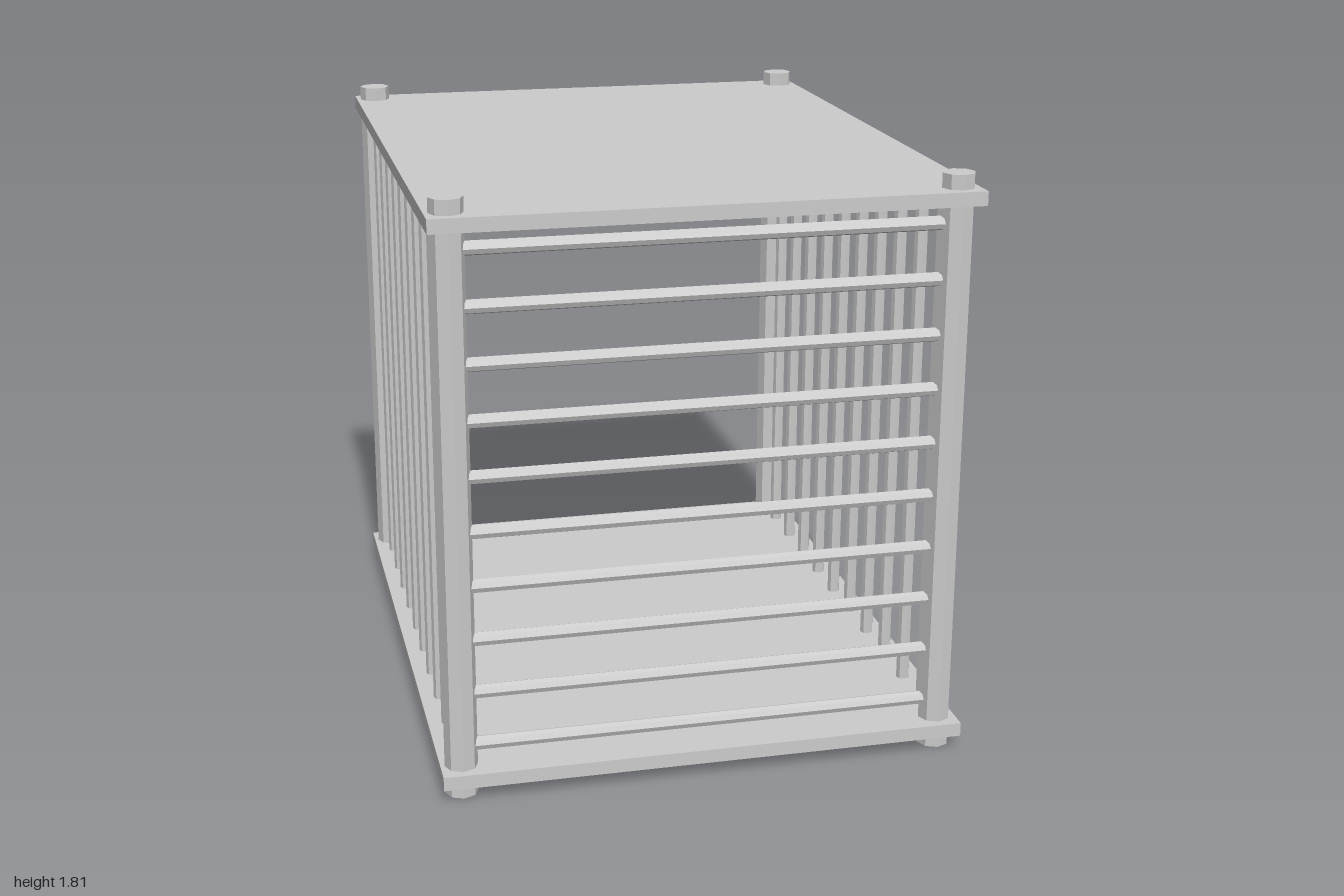
import * as THREE from 'three';

export function createModel() {
  const cage = new THREE.Group();
  cage.name = 'cage';
  const metal = new THREE.MeshStandardMaterial({ color: 0xcccccc });
  metal.name = 'light grey metal';

  const postX = 0.742, postZ = 0.925, height = 1.81;
  const plateThickness = 0.043, plateY = 0.066;

  // Low-poly geometry with hard facets
  const faceted = (geometry) => {
    const flat = geometry.toNonIndexed();
    flat.computeVertexNormals();
    return flat;
  };
  const rod = (radius, length) => faceted(new THREE.CylinderGeometry(radius, radius, length, 8));

  const add = (name, geometry, x, y, z) => {
    const mesh = new THREE.Mesh(geometry, metal);
    mesh.name = name;
    mesh.position.set(x, y, z);
    cage.add(mesh);
    return mesh;
  };

  // Floor and roof plates
  const plate = new THREE.BoxGeometry(1.61, plateThickness, 2);
  add('floorPlate', plate, 0, plateY, 0);
  add('roofPlate', plate, 0, height - plateY, 0);

  // Octagonal corner posts, poking through both plates
  const post = rod(0.05, height);
  for (const x of [-postX, postX])
    for (const z of [-postZ, postZ]) add('cornerPost', post, x, height / 2, z);

  // Horizontal bars across the front; the back stays open
  const frontBar = rod(0.0213, postX * 2).rotateZ(Math.PI / 2);
  for (let i = 0; i < 10; i++) add('frontBar', frontBar, 0, 0.153 + i * 0.1677, postZ);

  // Vertical bars along both sides
  const sideBar = rod(0.0213, height - 2 * plateY);
  for (const x of [-postX, postX])
    for (let i = 0; i < 10; i++) add('sideBar', sideBar, x, height / 2, 0.823 - i * 0.182);

  return cage;
}
